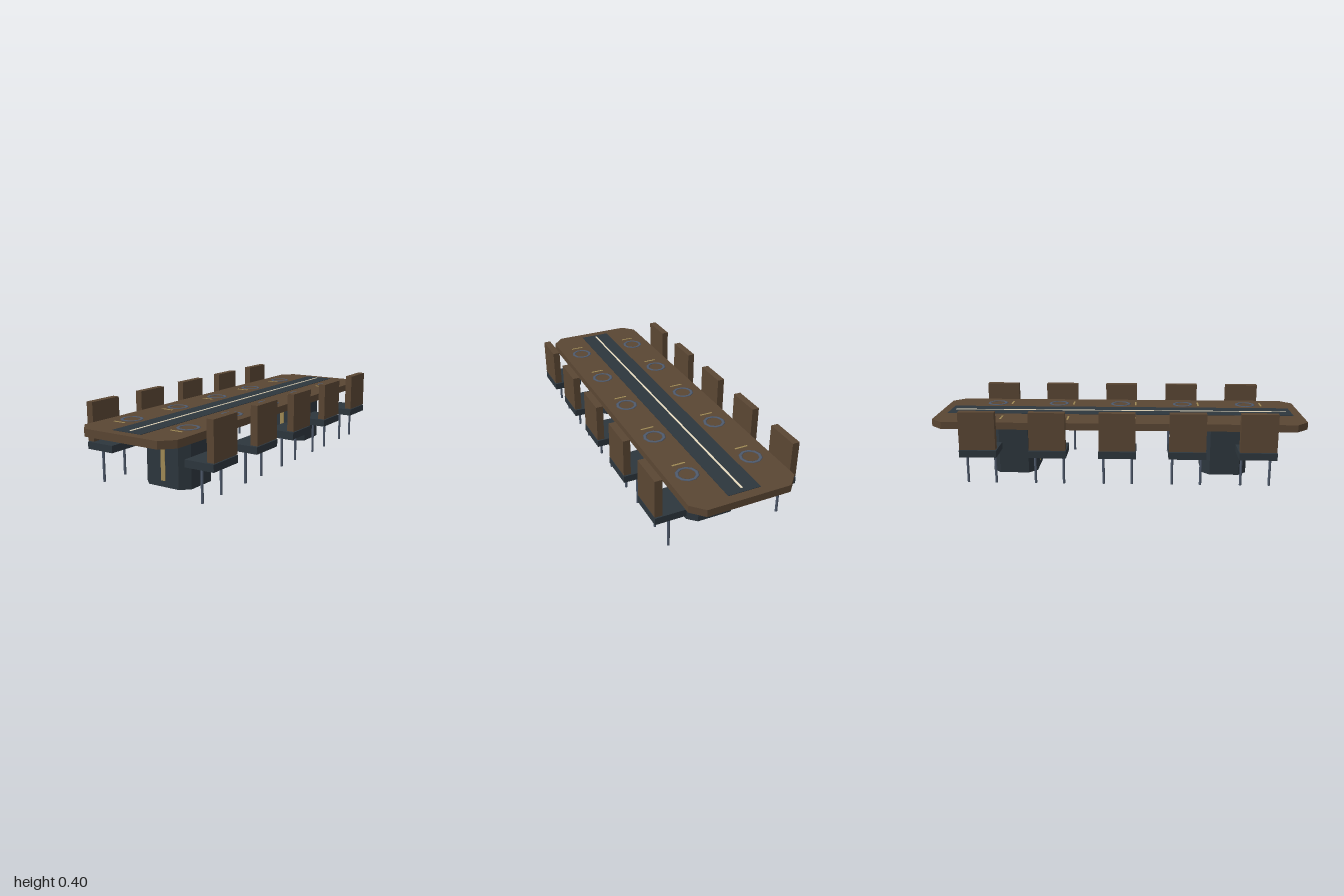
import * as THREE from 'three';

const paint = (name, color) => {
  const m = new THREE.MeshStandardMaterial({ color });
  m.name = name;
  return m;
};

export function createModel() {
  const walnut = paint('walnut', 0x5a4633);
  const slate = paint('slate', 0x2d363d);
  const steel = paint('steel', 0x4f5a6c);
  const brass = paint('brass', 0xa08a55);
  const cream = paint('cream', 0xe8dcc0);

  const model = new THREE.Group();
  model.name = 'conferenceTable';

  const add = (parent, name, geometry, material, x, y, z) => {
    const mesh = new THREE.Mesh(geometry, material);
    mesh.name = name;
    mesh.position.set(x, y, z);
    parent.add(mesh);
    return mesh;
  };
  const box = (parent, name, material, w, h, d, x, y, z) =>
    add(parent, name, new THREE.BoxGeometry(w, h, d), material, x, y, z);

  // Upright block with its four vertical corners cut off, standing on its base
  const chamferedBlock = (hx, hz, cx, cz, height) => {
    const outline = [
      [hx, hz - cz], [hx - cx, hz], [cx - hx, hz], [-hx, hz - cz],
      [-hx, cz - hz], [cx - hx, -hz], [hx - cx, -hz], [hx, cz - hz],
    ].map(([x, z]) => new THREE.Vector2(x, z));
    return new THREE.ExtrudeGeometry(new THREE.Shape(outline), { depth: height, bevelEnabled: false })
      .rotateX(-Math.PI / 2);
  };

  // Table top with dark centre runner and light line
  const topY = 0.323;
  add(model, 'tableTop', chamferedBlock(0.278, 1, 0.061, 0.063, 0.038), walnut, 0, topY - 0.038, 0);
  box(model, 'runner', slate, 0.17, 0.004, 1.904, 0, topY, 0);
  box(model, 'centreLine', cream, 0.01, 0.004, 1.852, 0, topY + 0.002, 0);

  // Two pedestals, each with a brass strip on its front face
  for (const z of [-0.58, 0.58]) {
    const pedestal = new THREE.Group();
    pedestal.name = 'pedestal';
    pedestal.position.z = z;
    model.add(pedestal);
    add(pedestal, 'pedestalBody', chamferedBlock(0.139, 0.123, 0.046, 0.043, 0.285), slate, 0, 0, 0);
    box(pedestal, 'pedestalStrip', brass, 0.026, 0.222, 0.006, 0, 0.143, 0.123);
  }

  // Ten places: a ring and a marker on the table, and a chair beside it
  for (const side of [-1, 1]) {
    for (let i = -2; i <= 2; i++) {
      const place = new THREE.Group();
      place.name = side > 0 ? 'leftPlace' : 'rightPlace';
      place.position.z = i * 0.361;
      model.add(place);

      const ring = new THREE.TorusGeometry(0.05, 0.009, 6, 10).scale(1, 1, 0.25).rotateX(-Math.PI / 2);
      add(place, 'placeRing', ring, steel, side * 0.173, topY, 0);
      box(place, 'placeMarker', brass, 0.07, 0.004, 0.009, side * 0.173, topY, 0.088);

      const chair = new THREE.Group();
      chair.name = 'chair';
      place.add(chair);
      box(chair, 'seat', slate, 0.161, 0.037, 0.194, side * 0.303, 0.1815, 0);
      box(chair, 'backrest', walnut, 0.038, 0.199, 0.188, side * 0.364, 0.3035, 0);
      for (const z of [-0.075, 0.075]) {
        const leg = new THREE.CylinderGeometry(0.0067, 0.0067, 0.165, 8);
        add(chair, 'leg', leg, steel, side * 0.303, 0.0825, z);
      }
    }
  }
  return model;
}
